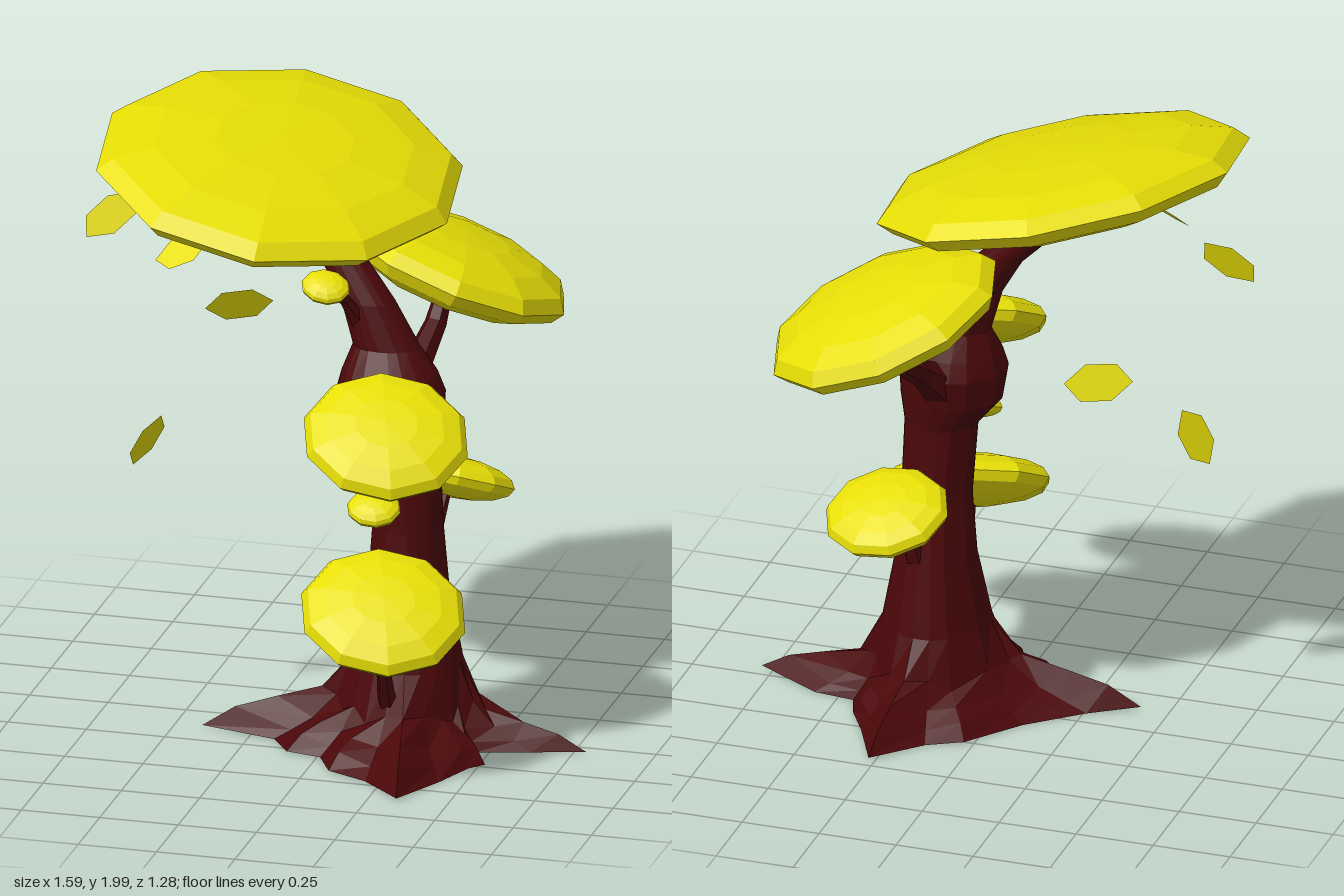
import * as THREE from 'three';

const bark = new THREE.MeshStandardMaterial({ color: 0x4b0709, flatShading: true, side: THREE.DoubleSide });
bark.name = 'dark red bark';
const foliage = new THREE.MeshStandardMaterial({ color: 0xe8df06, flatShading: true, side: THREE.DoubleSide });
foliage.name = 'yellow foliage';

const UP = new THREE.Vector3(0, 1, 0);

// Skin a stack of equal-sized loops and close the far end
function loft(rings) {
  const n = rings[0].length, pos = [], idx = [];
  rings.forEach(r => r.forEach(p => pos.push(p.x, p.y, p.z)));
  for (let i = 0; i < rings.length - 1; i++) {
    for (let j = 0; j < n; j++) {
      const k = (j + 1) % n, a = i * n + j, b = i * n + k;
      idx.push(a, b, b + n, a, b + n, a + n);
    }
  }
  const last = (rings.length - 1) * n;
  for (let j = 1; j < n - 1; j++) idx.push(last, last + j, last + j + 1);
  const g = new THREE.BufferGeometry();
  g.setAttribute('position', new THREE.Float32BufferAttribute(pos, 3));
  g.setIndex(idx);
  g.computeVertexNormals();
  return g;
}

// Tapered branch through points [x, y, z, radius]
function limb(points, sides) {
  const pts = points.map(p => new THREE.Vector3(p[0], p[1], p[2]));
  return loft(pts.map((p, i) => {
    const dir = pts[Math.min(i + 1, pts.length - 1)].clone()
      .sub(pts[Math.max(i - 1, 0)]).normalize();
    const q = new THREE.Quaternion().setFromUnitVectors(UP, dir);
    return Array.from({ length: sides }, (_, j) => {
      const a = j / sides * Math.PI * 2, r = points[i][3];
      return new THREE.Vector3(Math.cos(a) * r, 0, -Math.sin(a) * r).applyQuaternion(q).add(p);
    });
  }));
}

// Trunk whose foot spreads into webbed roots
function trunk() {
  // Ground outline [x, z, root height], height 0 marks the hollows between roots
  const outline = [
    [0.79, 0.05, 0.85], [0.58, -0.065, 0], [0.45, -0.08, 0], [0.42, -0.17, 0.8], [0.36, -0.27, 0],
    [0.27, -0.465, 1.1], [0.14, -0.31, 0], [0.03, -0.26, 0.8], [-0.1, -0.08, 0],
    [-0.26, 0.06, 0], [-0.41, 0.14, 1.15], [-0.17, 0.18, 0], [-0.1, 0.29, 0.9], [0.01, 0.3, 0],
    [0.07, 0.42, 0.8], [0.2, 0.47, 0], [0.34, 0.615, 1.1], [0.42, 0.42, 0],
    [0.48, 0.29, 0.9], [0.52, 0.24, 0.8], [0.46, 0.13, 0], [0.62, 0.085, 0]
  ];
  const angles = outline.map(([x, z]) => Math.atan2(0.05 - z, x - 0.21));
  const ring = (y, cx, cz, rx, rz) => angles.map(a =>
    new THREE.Vector3(cx + Math.cos(a) * rx, y, cz - Math.sin(a) * rz));

  const collar = ring(0.27, 0.22, 0.05, 0.17, 0.18);
  // Foot rows: share of the way out, height on roots, height in hollows
  const foot = [[1, 0.012, 0.005], [0.78, 0.07, 0.035], [0.5, 0.105, 0.075], [0.2, 0.14, 0.15]]
    .map(([f, yRoot, yHollow]) => outline.map(([x, z, h], j) => new THREE.Vector3(
      THREE.MathUtils.lerp(collar[j].x, x, f), h ? yRoot * h : yHollow,
      THREE.MathUtils.lerp(collar[j].z, z, f))));

  // Stem rings [y, centre x, centre z, radius x, radius z]
  const stem = [
    [0.5, 0.22, 0.04, 0.125, 0.135],
    [0.7, 0.22, 0.045, 0.11, 0.11],
    [0.95, 0.205, 0.045, 0.115, 0.105],
    [1.04, 0.175, 0.055, 0.16, 0.135],
    [1.14, 0.17, 0.06, 0.17, 0.155],
    [1.2, 0.165, 0.055, 0.15, 0.13],
    [1.28, 0.15, 0.04, 0.105, 0.08],
    [1.42, 0.09, 0.035, 0.085, 0.065],
    [1.54, 0.01, 0.02, 0.075, 0.05],
    [1.65, -0.1, 0.01, 0.075, 0.045],
    [1.75, -0.18, 0.01, 0.06, 0.04]
  ].map(r => ring(...r));
  return loft([...foot, collar, ...stem]);
}

// Flattened leaf cluster facing along its normal
function canopy(center, normal, size, spin) {
  const mesh = new THREE.Mesh(new THREE.SphereGeometry(1, 10, 8), foliage);
  mesh.scale.set(...size);
  mesh.position.set(...center);
  mesh.quaternion.setFromUnitVectors(UP, new THREE.Vector3(...normal).normalize())
    .multiply(new THREE.Quaternion().setFromAxisAngle(UP, spin));
  return mesh;
}

// Six-sided leaf from its centre, half length and half width vectors
function leaf(c, l, w) {
  const corners = [[1, 0], [0.45, 1], [-0.45, 1], [-1, 0], [-0.45, -1], [0.45, -1]];
  const pos = corners.flatMap(([s, t]) => c.map((v, i) => v + l[i] * s + w[i] * t));
  const g = new THREE.BufferGeometry();
  g.setAttribute('position', new THREE.Float32BufferAttribute(pos, 3));
  g.setIndex([0, 1, 2, 0, 2, 3, 0, 3, 4, 0, 4, 5]);
  g.computeVertexNormals();
  return new THREE.Mesh(g, foliage);
}

export function createModel() {
  const tree = new THREE.Group();
  tree.name = 'tree';
  const add = (mesh, name) => { mesh.name = name; tree.add(mesh); };

  add(new THREE.Mesh(trunk(), bark), 'trunkAndRoots');

  // Branches reaching into the leaf clusters
  const branches = {
    lowerFrontBranch: [[0.21, 0.13, 0.21, 0.035], [0.21, 0.23, 0.265, 0.028], [0.23, 0.48, 0.41, 0.012]],
    upperFrontBranch: [[0.21, 0.86, 0.13, 0.035], [0.21, 0.91, 0.22, 0.018], [0.24, 1.07, 0.38, 0.009]],
    smallFrontBranch: [[0.2, 0.86, 0.13, 0.022], [0.2, 0.875, 0.22, 0.012], [0.2, 0.85, 0.33, 0.007]],
    topTwig: [[0.07, 1.37, 0.07, 0.035], [0.04, 1.44, 0.12, 0.018], [0.01, 1.51, 0.2, 0.008]],
    lowerBackBranch: [[0.25, 0.52, -0.06, 0.04], [0.27, 0.65, -0.11, 0.022], [0.28, 0.74, -0.2, 0.013]],
    upperBackBranch: [[0.18, 1.1, -0.03, 0.07], [0.21, 1.18, -0.12, 0.045], [0.23, 1.26, -0.24, 0.035], [0.25, 1.38, -0.3, 0.025]]
  };
  for (const [name, points] of Object.entries(branches)) add(new THREE.Mesh(limb(points, 6), bark), name);

  // Leaf clusters
  add(canopy([-0.19, 1.825, 0.045], [0.22, 1, 0.125], [0.63, 0.115, 0.545], 1.16), 'topCanopy');
  add(canopy([0.275, 1.44, -0.295], [0.38, 1, -0.17], [0.385, 0.11, 0.36], 0.6), 'backCanopy');
  add(canopy([0.25, 1.115, 0.41], [0.2, 1, 0.63], [0.262, 0.08, 0.24], 0), 'upperFrontCanopy');
  add(canopy([0.25, 0.55, 0.44], [0.2, 1, 0.63], [0.262, 0.08, 0.24], 0), 'lowerFrontCanopy');
  add(canopy([0.28, 0.755, -0.258], [0.12, 1, -0.42], [0.2, 0.066, 0.185], 0), 'lowerBackCanopy');
  add(canopy([0.195, 0.855, 0.348], [0.08, 1, 0.5], [0.085, 0.036, 0.075], 0), 'smallCanopy');
  add(canopy([0.005, 1.515, 0.217], [0.2, 1, 0.55], [0.077, 0.032, 0.065], 0), 'tinyCanopy');

  // Falling leaves
  const leaves = [
    [[-0.725, 1.625, 0.055], [0.07, 0.07, -0.03], [-0.045, 0.025, 0]],
    [[-0.425, 1.63, 0.32], [0.085, 0.04, 0], [0.01, -0.03, 0.045]],
    [[-0.385, 1.275, -0.195], [0.095, 0.005, -0.05], [0, 0.052, 0.025]],
    [[-0.575, 0.945, 0.18], [0.045, 0.085, 0], [-0.02, 0.01, 0.055]]
  ];
  leaves.forEach((l, i) => add(leaf(...l), 'fallingLeaf' + (i + 1)));

  return tree;
}
